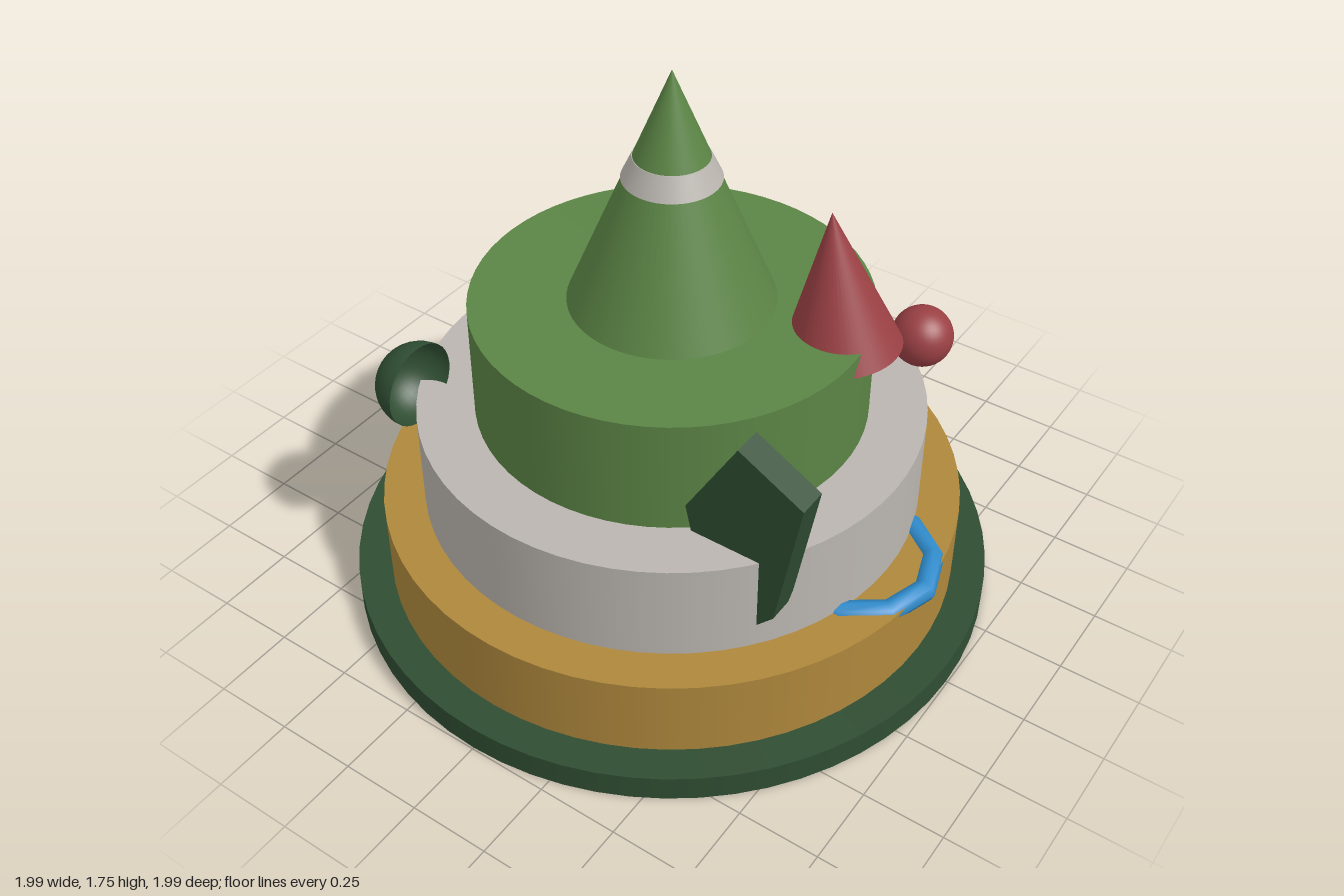
import * as THREE from 'three';

export function createModel() {
  const model = new THREE.Group();
  model.name = 'tieredCake';

  const mat = (name, color, side = THREE.FrontSide) => {
    const m = new THREE.MeshStandardMaterial({ color, side });
    m.name = name;
    return m;
  };
  const darkGreen = mat('darkGreen', 0x2f4d32, THREE.DoubleSide);
  const green = mat('green', 0x5b8445);
  const gold = mat('gold', 0xae873c);
  const cream = mat('cream', 0xbab5af);
  const red = mat('red', 0x9a4044, THREE.DoubleSide);
  const blue = mat('blue', 0x2f8bcb);

  const add = (name, geometry, material, x = 0, y = 0, z = 0) => {
    const mesh = new THREE.Mesh(geometry, material);
    mesh.name = name;
    mesh.position.set(x, y, z);
    model.add(mesh);
    return mesh;
  };
  // Round slab or frustum standing between two heights
  const drum = (name, bottomR, topR, y0, y1, material) =>
    add(name, new THREE.CylinderGeometry(topR, bottomR, y1 - y0, 64), material, 0, (y0 + y1) / 2, 0);

  // Board and stacked tiers
  drum('board', 0.995, 0.995, 0, 0.083, darkGreen);
  drum('bottomTier', 0.892, 0.892, 0.083, 0.338, gold);
  drum('middleTier', 0.766, 0.766, 0.338, 0.652, cream);
  drum('topTier', 0.592, 0.592, 0.652, 1.012, green);

  // Central peak with a pale band
  add('peak', new THREE.ConeGeometry(0.305, 0.733, 64), green, 0, 1.012 + 0.733 / 2, 0);
  drum('peakBand', 0.143, 0.111, 1.415, 1.483, cream);

  // Leaning red hat on the rim, with its bobble
  const tip = new THREE.Vector3(0.422, 1.37, -0.155);
  const foot = new THREE.Vector3(0.478, 0.938, -0.163);
  const axis = tip.clone().sub(foot);
  const hat = add('hat', new THREE.ConeGeometry(0.173, axis.length(), 48), red);
  hat.position.copy(tip).add(foot).multiplyScalar(0.5);
  hat.quaternion.setFromUnitVectors(new THREE.Vector3(0, 1, 0), axis.normalize());
  add('bobble', new THREE.SphereGeometry(0.091, 32, 20), red, 0.627, 0.905, -0.37);

  // Open half dome on the side
  const dome = add('halfDome',
    new THREE.SphereGeometry(0.132, 32, 12, 0, Math.PI * 2, 0, Math.PI / 2),
    darkGreen, -0.58, 0.722, 0.473);
  dome.rotation.z = Math.PI / 2;

  // Thin flat disc projecting at the back
  const disc = add('backDisc', new THREE.CircleGeometry(0.275, 48), red, -0.358, 0.602, -0.532);
  disc.rotation.x = -Math.PI / 2;

  // Angular slab set into the front side
  const outline = [
    [0.53, 1.014], [0.735, 0.904], [0.66, 0.47], [0.6, 0.405],
    [0.42, 0.5], [0.385, 0.66], [0.368, 0.735],
  ].map(([x, y]) => new THREE.Vector2(x, y));
  add('slab',
    new THREE.ExtrudeGeometry(new THREE.Shape(outline), { depth: 0.09, bevelEnabled: false }),
    darkGreen, 0, 0, 0.375);

  // Ring handles on both sides
  for (const side of [1, -1]) {
    const handle = add(side > 0 ? 'leftHandle' : 'rightHandle',
      new THREE.TorusGeometry(0.225, 0.035, 8, 10), blue, side * 0.665, 0.324, 0);
    handle.rotation.set(Math.PI / 2, 0, side > 0 ? 0 : Math.PI);
  }

  return model;
}
